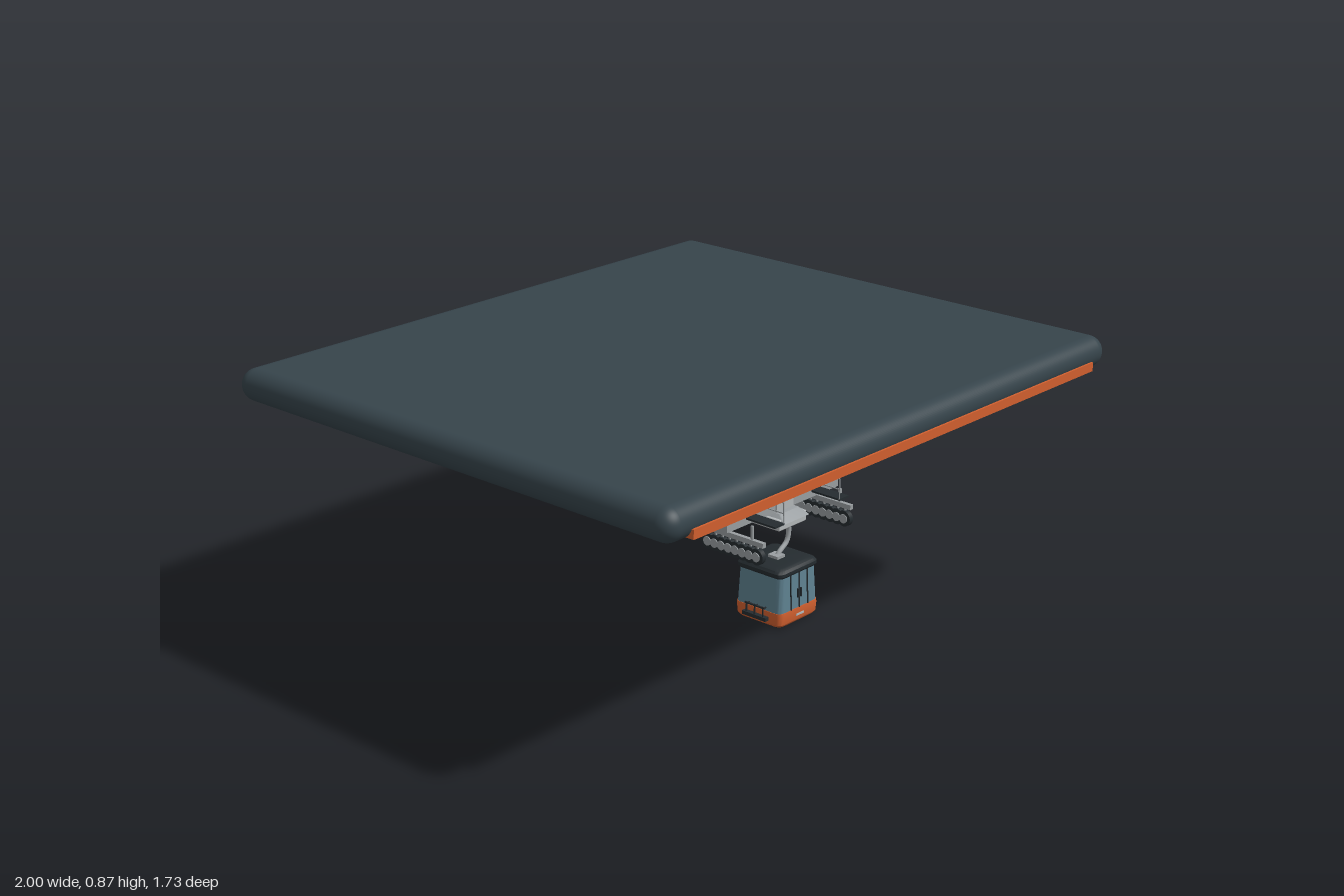
import * as THREE from 'three';
import { RoundedBoxGeometry } from 'three/addons/geometries/RoundedBoxGeometry.js';
import { toCreasedNormals } from 'three/addons/utils/BufferGeometryUtils.js';

const mat = (color) => new THREE.MeshStandardMaterial({ color });
const slate = mat(0x36444b), dark = mat(0x252c30), orange = mat(0xd2602f);
const glass = mat(0x5f8291), steel = mat(0x9a9fa2), pale = mat(0xb4b8ba);

function add(parent, name, geometry, material, x = 0, y = 0, z = 0) {
  const mesh = new THREE.Mesh(geometry, material);
  mesh.name = name;
  mesh.position.set(x, y, z);
  parent.add(mesh);
  return mesh;
}

const box = (w, h, d) => new THREE.BoxGeometry(w, h, d);
const cyl = (r, h, n = 24) => new THREE.CylinderGeometry(r, r, h, n);

// Stack of rounded rectangles, each [y, half width, half depth, corner radius]
function loft(sections) {
  const pos = [], index = [], n = 24;
  for (const [y, w, d, r] of sections) {
    for (let i = 0; i < n; i++) {
      const corner = Math.floor(i / 6);
      const a = (corner + (i % 6) / 5) * Math.PI / 2;
      const sx = corner === 0 || corner === 3 ? 1 : -1, sz = corner < 2 ? 1 : -1;
      pos.push(sx * (w - r) + r * Math.cos(a), y, sz * (d - r) + r * Math.sin(a));
    }
  }
  for (let s = 0; s < sections.length - 1; s++) {
    for (let i = 0; i < n; i++) {
      const a = s * n + i, b = s * n + (i + 1) % n;
      index.push(a, a + n, b, b, a + n, b + n);
    }
  }
  const top = (sections.length - 1) * n;
  for (let i = 1; i < n - 1; i++) {
    index.push(0, i, i + 1, top, top + i + 1, top + i);
  }
  const g = new THREE.BufferGeometry();
  g.setAttribute('position', new THREE.Float32BufferAttribute(pos, 3));
  g.setIndex(index);
  return toCreasedNormals(g, 0.6);
}

// Horizontal haul wheel hanging under the roof
function createBullwheel() {
  const g = new THREE.Group();
  g.name = 'bullwheel';
  const profile = [[0, 0.726], [0.19, 0.726], [0.193, 0.72], [0.21, 0.72], [0.21, 0.726],
    [0.204, 0.732], [0.21, 0.738], [0.21, 0.744], [0.19, 0.744], [0, 0.74]];
  const rim = new THREE.LatheGeometry(profile.map(([r, y]) => new THREE.Vector2(r, y)), 64);
  add(g, 'wheelDisc', toCreasedNormals(rim, 0.5), slate);
  add(g, 'hub', cyl(0.021, 0.085), steel, 0, 0.728, 0);
  for (let i = 0; i < 8; i++) {
    const a = i * Math.PI / 4;
    const spoke = add(g, 'spoke', box(0.19, 0.01, 0.007), steel,
      Math.cos(a) * 0.105, 0.719, -Math.sin(a) * 0.105);
    spoke.rotation.y = a;
  }
  return g;
}

// Row of rope rollers under a rail
function createSheaveTrain() {
  const g = new THREE.Group();
  g.name = 'sheaveTrain';
  add(g, 'sheaveRail', box(0.014, 0.016, 0.245), steel, 0, 0.329, 0);
  for (const z of [-0.075, 0.075]) add(g, 'railHanger', box(0.008, 0.046, 0.008), steel, 0, 0.357, z);
  for (let i = 0; i < 8; i++) {
    const z = (i - 3.5) * 0.0278;
    add(g, 'sheaveTyre', cyl(0.026, 0.016), dark, 0, 0.287, z).rotation.z = Math.PI / 2;
    add(g, 'sheaveHub', cyl(0.015, 0.022, 16), steel, 0, 0.287, z).rotation.z = Math.PI / 2;
    add(g, 'sheaveBracket', box(0.005, 0.035, 0.006), steel, 0, 0.312, z);
  }
  return g;
}

// Service walkway with handrail on its inner edge; side is -1 or 1
function createCatwalk(side) {
  const g = new THREE.Group();
  g.name = 'catwalk';
  add(g, 'walkwayPlate', box(0.044, 0.006, 0.27), dark, side * 0.155, 0.379, 0);
  for (const z of [-0.133, 0, 0.133]) {
    add(g, 'railPost', box(0.003, 0.07, 0.003), steel, side * 0.134, 0.414, z);
  }
  for (const y of [0.413, 0.447]) {
    add(g, 'handrail', box(0.003, 0.003, 0.27), steel, side * 0.134, y, 0);
  }
  return g;
}

function createCarriage() {
  const g = new THREE.Group();
  g.name = 'carriage';
  add(g, 'crossBeam', box(0.53, 0.029, 0.045), steel, 0, 0.373, 0);
  add(g, 'beamSaddle', box(0.08, 0.034, 0.056), pale, 0, 0.373, 0);
  add(g, 'gripPlate', loft([[0.338, 0.062, 0.075, 0.004], [0.36, 0.045, 0.045, 0.004]]), steel);
  add(g, 'gripBox', new RoundedBoxGeometry(0.13, 0.036, 0.12, 2, 0.004), pale, 0, 0.33, 0);
  for (const side of [-1, 1]) {
    const train = createSheaveTrain();
    train.position.x = side * 0.21;
    g.add(train, createCatwalk(side));
  }
  // Cranked arm carrying the cabin
  const path = new THREE.CatmullRomCurve3([[-0.005, 0.32], [0.02, 0.302], [0.05, 0.285],
    [0.052, 0.255], [0.043, 0.232], [0.01, 0.208], [-0.008, 0.19]]
    .map(([x, y]) => new THREE.Vector3(x, y, 0)));
  add(g, 'hangerArm', new THREE.TubeGeometry(path, 40, 0.008, 12), steel);
  add(g, 'hangerFoot', box(0.035, 0.012, 0.04), steel, -0.005, 0.198, 0);
  return g;
}

function createCabin() {
  const g = new THREE.Group();
  g.name = 'cabin';
  add(g, 'floor', loft([[0, 0.08, 0.078, 0.02], [0.006, 0.086, 0.084, 0.02]]), dark);
  add(g, 'lowerBody', loft([[0.004, 0.086, 0.084, 0.02], [0.013, 0.093, 0.091, 0.02],
    [0.042, 0.095, 0.093, 0.02], [0.052, 0.094, 0.092, 0.02]]), orange);
  add(g, 'windows', loft([[0.05, 0.0925, 0.0905, 0.02], [0.172, 0.086, 0.086, 0.02]]), glass);
  add(g, 'roof', loft([[0.167, 0.089, 0.088, 0.02], [0.173, 0.094, 0.092, 0.022],
    [0.183, 0.094, 0.092, 0.022], [0.191, 0.088, 0.086, 0.022], [0.195, 0.076, 0.074, 0.02]]), dark);
  // Front door frame and handles
  for (const x of [-0.04, 0, 0.04]) {
    add(g, 'doorPost', box(0.004, 0.12, 0.005), dark, x, 0.111, 0.0885).rotation.x = -0.037;
  }
  for (const x of [-0.007, 0.007]) add(g, 'doorHandle', box(0.003, 0.03, 0.006), dark, x, 0.1, 0.091);
  add(g, 'frontPlate', box(0.035, 0.006, 0.003), pale, 0, 0.03, 0.094);
  // Ski racks on both sides
  for (const side of [-1, 1]) {
    add(g, 'rackRail', box(0.006, 0.005, 0.08), dark, side * 0.105, 0.064, 0);
    add(g, 'rackTray', box(0.016, 0.012, 0.095), dark, side * 0.103, 0.029, 0);
    for (const z of [-0.033, 0, 0.033]) {
      add(g, 'rackUpright', box(0.004, 0.046, 0.004), dark, side * 0.106, 0.045, z);
      add(g, 'rackMount', box(0.018, 0.004, 0.004), dark, side * 0.097, 0.062, z);
    }
  }
  return g;
}

export function createModel() {
  const model = new THREE.Group();
  model.name = 'cableCarStation';

  // Station roof with a coloured fascia along the front
  add(model, 'roofSlab', new RoundedBoxGeometry(2, 0.101, 1.725, 8, 0.05), slate, 0, 0.815, -0.002);
  add(model, 'frontFascia', box(1.82, 0.028, 0.03), orange, 0, 0.786, 0.85);

  for (const z of [-0.42, 0.422]) {
    const wheel = createBullwheel();
    wheel.position.set(0.208, 0, z);
    model.add(wheel);
  }

  const carriage = createCarriage(), cabin = createCabin();
  carriage.position.set(0.209, 0, 0.212);
  cabin.position.set(0.209, 0, 0.212);
  model.add(carriage, cabin);
  return model;
}
